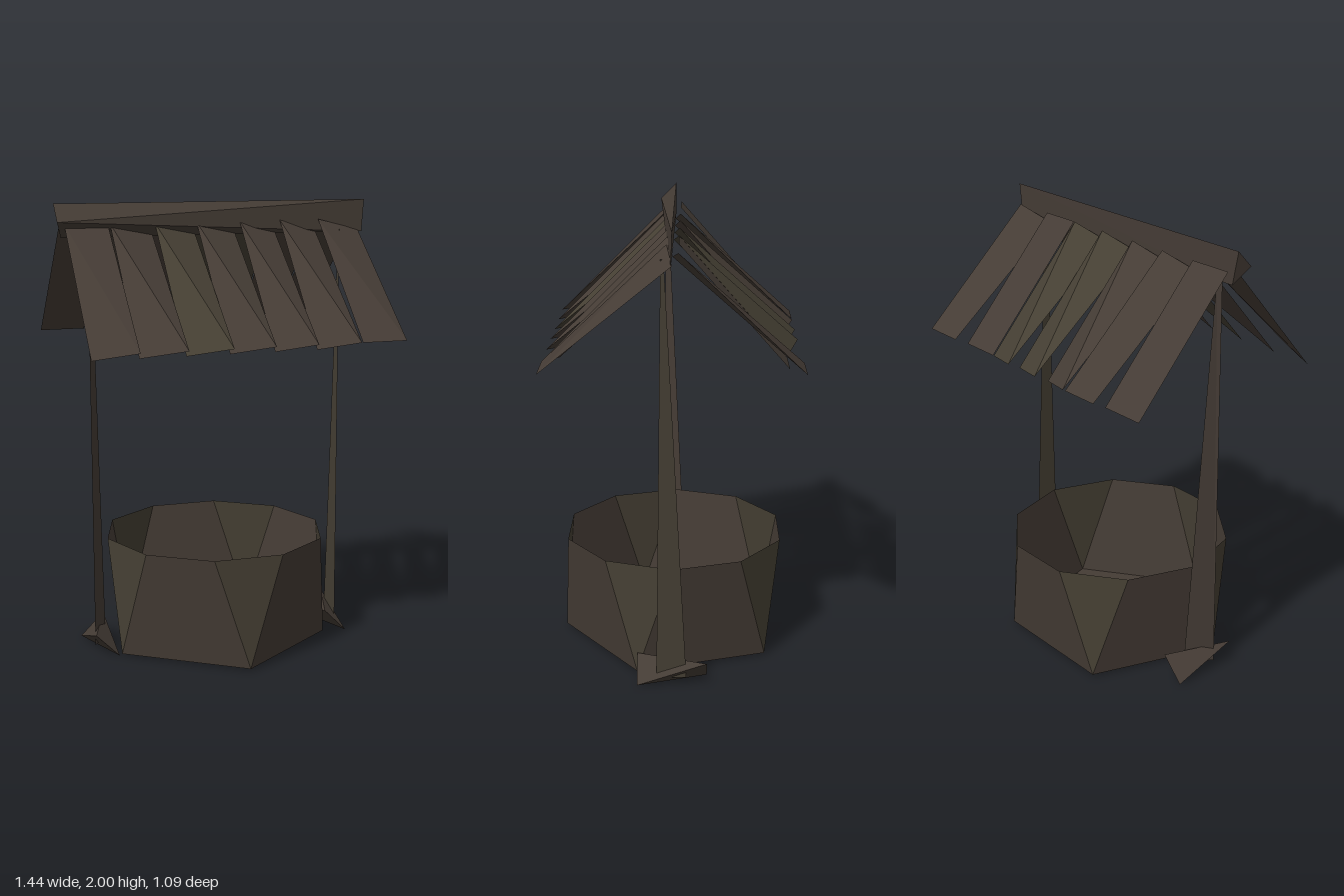
import * as THREE from 'three';
import { ConvexGeometry } from 'three/addons/geometries/ConvexGeometry.js';

const material = (name, color) => new THREE.MeshStandardMaterial({
  name, color, flatShading: true, side: THREE.DoubleSide });

// Unindexed geometry from a list of triangles, each made of three [x, y, z] points
function facets(triangles) {
  const g = new THREE.BufferGeometry();
  g.setAttribute('position', new THREE.Float32BufferAttribute(triangles.flat(2), 3));
  g.computeVertexNormals();
  return g;
}

// Closed four-cornered wedge
const wedge = (a, b, c, d) => facets([[a, b, c], [a, c, d], [b, a, d], [c, b, d]]);

export function createModel() {
  const brown = material('weathered brown', 0x453c35);
  const olive = material('mossy brown', 0x453f33);
  const model = new THREE.Group();
  model.name = 'well';

  const add = (name, geometry, mat, parent = model) => {
    const mesh = new THREE.Mesh(geometry, mat);
    mesh.name = name;
    parent.add(mesh);
    return mesh;
  };

  // Basin: five-sided foot opening into a ten-sided rim
  const ring = (deg, r, y) => {
    const a = THREE.MathUtils.degToRad(deg);
    return [r * Math.sin(a), y, r * Math.cos(a)];
  };
  const walls = [], wedges = [], floor = [];
  for (let i = 0; i < 5; i++) {
    const t = i * 72;
    const low = ring(t, 0.51, 0.01), nextLow = ring(t + 72, 0.51, 0.01);
    const r0 = ring(t - 18, 0.505, 0.505), r1 = ring(t + 18, 0.505, 0.505), r2 = ring(t + 54, 0.505, 0.505);
    wedges.push([low, r1, r0]);
    walls.push([low, nextLow, r2], [low, r2, r1]);
    floor.push([[0, 0.01, 0], nextLow, low]);
  }
  add('basinWalls', facets(walls), brown);
  add('basinWedges', facets(wedges), olive);
  add('basinFloor', facets(floor), brown);

  // Feet: twisted wedges, the right one turned half round
  for (const side of [1, -1]) {
    const foot = add(side > 0 ? 'leftFoot' : 'rightFoot', wedge(
      [0.6, 0, 0.155], [0.6, 0.105, -0.15], [0.495, 0.105, 0.155], [0.495, 0, -0.15]), brown);
    if (side < 0) foot.rotation.y = Math.PI;
  }

  // Posts: thin tapering blades
  const blade = (a, b, c, d) => facets([[a, b, c], [a, c, d]]);
  add('leftPost', blade([0.58, 0.03, 0.07], [0.58, 0.03, -0.06],
    [0.58, 1.87, 0.035], [0.58, 1.87, 0.048]), olive);
  add('rightPost', blade([-0.585, 0.03, 0.065], [-0.51, 0.03, -0.05],
    [-0.568, 1.87, 0.035], [-0.585, 1.87, 0.048]), brown);

  // Roof planks: each corner lies on the outer (1) or inner (0) side of the slope.
  // Corner order as seen facing the slope: top left, top right, bottom left, bottom right.
  const edges = [[-0.68, -0.49], [-0.48, -0.285], [-0.28, -0.09], [-0.09, 0.095],
    [0.11, 0.285], [0.3, 0.48], [0.485, 0.69]];
  const slopes = {
    front: ['1101', '1001', '1001', '1001', '1001', '1001', '1011'],
    back: ['1011', '1100', '1001', '1001', '1001', '1011', '1100'],
  };
  const mossy = { front: [2], back: [2, 3] };
  for (const [name, patterns] of Object.entries(slopes)) {
    const slope = new THREE.Group();
    slope.name = name + 'Roof';
    patterns.forEach((p, i) => {
      const [x0, x1] = edges[i];
      const top = (x, o) => o === '1' ? [x, 1.915, 0.025] : [x, 1.865, 0];
      const eave = (x, o) => o === '1' ? [x, 1.425, 0.543] : [x, 1.395, 0.485];
      const tl = top(x0, p[0]), tr = top(x1, p[1]), bl = eave(x0, p[2]), br = eave(x1, p[3]);
      add('roofPlank', wedge(tl, bl, br, tr), mossy[name].includes(i) ? olive : brown, slope);
    });
    if (name === 'back') slope.rotation.y = Math.PI;
    model.add(slope);
  }

  // Ridge beam, twisting along its length
  add('ridgeBeam', new ConvexGeometry([[-0.72, 2, 0], [-0.72, 1.925, 0.073], [-0.69, 1.855, 0],
    [0.72, 2, 0], [0.708, 1.855, 0.005]].map(p => new THREE.Vector3(...p))), brown);

  return model;
}
